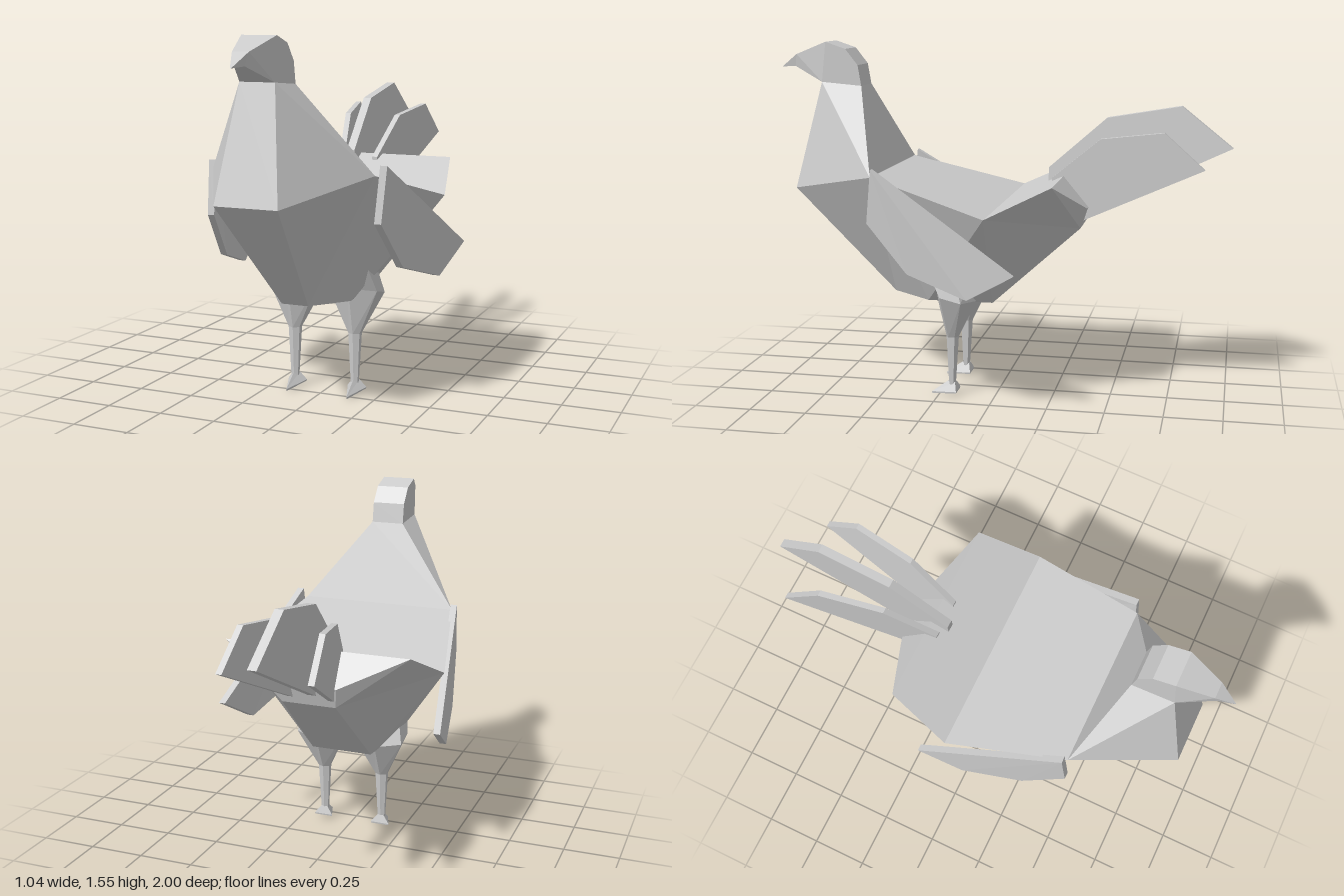
import * as THREE from 'three';

const material = new THREE.MeshStandardMaterial({ color: 0xcccccc, flatShading: true });
const CX = -0.015; // body centre line

// Faceted solid from rings of [x, y, z] points, capped at both ends.
// tris: optional cap triangles as index triples (default is a fan).
function solid(name, rings, tris) {
  const n = rings[0].length, pos = [];
  const face = (...pts) => pts.forEach((p) => pos.push(...p));
  if (!tris) tris = Array.from({ length: n - 2 }, (_, i) => [0, i + 1, i + 2]);
  const last = rings[rings.length - 1];
  for (const [i, j, k] of tris) {
    face(rings[0][i], rings[0][j], rings[0][k]);
    face(last[i], last[k], last[j]);
  }
  for (let r = 0; r < rings.length - 1; r++) {
    const a = rings[r], b = rings[r + 1];
    for (let i = 0; i < n; i++) {
      const j = (i + 1) % n;
      face(a[i], b[i], a[j]);
      face(b[i], b[j], a[j]);
    }
  }
  const geometry = new THREE.BufferGeometry();
  geometry.setAttribute('position', new THREE.Float32BufferAttribute(pos, 3));
  geometry.computeVertexNormals();
  const mesh = new THREE.Mesh(geometry, material);
  mesh.name = name;
  return mesh;
}

// Symmetric solid from a side profile of [halfWidth, y, z].
function symmetric(name, profile, tris) {
  const side = (s) => profile.map(([w, y, z]) => [CX + s * w, y, z]);
  return solid(name, [side(1), side(-1)], tris);
}

// Thin plate from [z, y] outline; xAt gives its middle plane.
function plate(name, outline, thickness, xAt) {
  const side = (s) => outline.map(([z, y], i) => [xAt(z, y, i) + s * thickness / 2, y, z]);
  return solid(name, [side(1), side(-1)]);
}

// Six-sided leg ring with an edge at the front and at the back.
function legRing(x, [frontZ, frontY, backZ, backY, half]) {
  const at = (dx, t) => [x + dx, frontY + (backY - frontY) * t, frontZ + (backZ - frontZ) * t];
  return [at(0, 0), at(half, 0.25), at(half, 0.75), at(0, 1), at(-half, 0.75), at(-half, 0.25)];
}

// Three-sided foot ring: toe and two rear corners.
function footRing(x, [frontZ, frontY, backZ, backY, half]) {
  return [[x, frontY, frontZ], [x + half, backY, backZ], [x - half, backY, backZ]];
}

export function createModel() {
  const model = new THREE.Group();

  // Body and neck
  model.add(symmetric('body', [
    [0.075, 1.375, 0.79],  // 0 throat
    [0.135, 0.91, 0.90],   // 1 chest
    [0.06, 0.442, 0.47],   // 2 lower chest
    [0.175, 0.435, 0.29],  // 3 belly
    [0.14, 0.427, 0.01],   // 4 belly rear
    [0.12, 0.77, -0.37],   // 5 rump low
    [0.135, 0.86, -0.40],  // 6 rump
    [0.415, 0.99, -0.29],  // 7 rump top
    [0.48, 0.86, -0.02],   // 8 back
    [0.36, 1.0, 0.49],     // 9 shoulder
    [0.075, 1.36, 0.61],   // 10 nape
  ], [[0, 1, 9], [0, 9, 10], [1, 2, 9], [2, 3, 9], [9, 3, 8],
    [3, 4, 8], [4, 5, 8], [8, 5, 7], [5, 6, 7]]));

  // Head with beak
  model.add(symmetric('head', [
    [0.075, 1.36, 0.61], [0.075, 1.45, 0.625], [0.075, 1.52, 0.68], [0.075, 1.55, 0.77],
    [0.035, 1.493, 0.92], [0.002, 1.435, 1.0], [0.022, 1.44, 0.93], [0.075, 1.375, 0.79],
  ], [[7, 0, 1], [7, 1, 2], [7, 2, 3], [7, 3, 4], [4, 6, 7], [4, 5, 6]]));

  // Wings
  const wing = [[0.475, 1.04], [0.50, 0.81], [0.32, 0.605], [0.05, 0.522], [-0.15, 0.64]];
  const leftX = [0.375, 0.36, 0.388, 0.455, 0.5];
  const rightX = [-0.388, -0.385, -0.425, -0.477, -0.506];
  model.add(plate('leftWing', wing, 0.03, (z, y, i) => leftX[i]));
  model.add(plate('rightWing', wing.map(([z, y]) => [z, y - 0.012]), 0.03, (z, y, i) => rightX[i]));

  // Tail feathers
  const middle = [[-0.21, 1.01], [-0.21, 0.735], [-1.0, 1.11], [-0.78, 1.285], [-0.46, 1.23]];
  const outer = [[-0.24, 0.98], [-0.24, 0.735], [-0.89, 1.04], [-0.72, 1.19], [-0.45, 1.155]];
  const lean = (y) => -0.08 * (y - 1.1);
  model.add(plate('middleTailFeather', middle, 0.038, (z, y) => -0.058 + lean(y)));
  model.add(plate('rightTailFeather', outer, 0.026, (z, y) => -0.115 + 0.205 * (z + 0.24) + lean(y)));
  model.add(plate('leftTailFeather', outer, 0.026, (z, y) => 0.06 - 0.115 * (z + 0.24) - lean(y) / 2));

  // Legs and feet
  for (const [side, x] of [['left', 0.137], ['right', -0.147]]) {
    model.add(solid(side + 'Leg', [
      [0.33, 0.59, 0.10, 0.54, 0.09],
      [0.265, 0.48, 0.08, 0.435, 0.112],
      [0.216, 0.27, 0.16, 0.27, 0.026],
      [0.206, 0.05, 0.175, 0.05, 0.016],
    ].map((r) => legRing(x, r))));
    model.add(solid(side + 'Foot', [
      [0.21, 0.063, 0.175, 0.06, 0.016],
      [0.285, 0.008, 0.165, 0.025, 0.044],
      [0.284, 0.0, 0.166, 0.018, 0.042],
    ].map((r) => footRing(x, r))));
  }
  return model;
}
